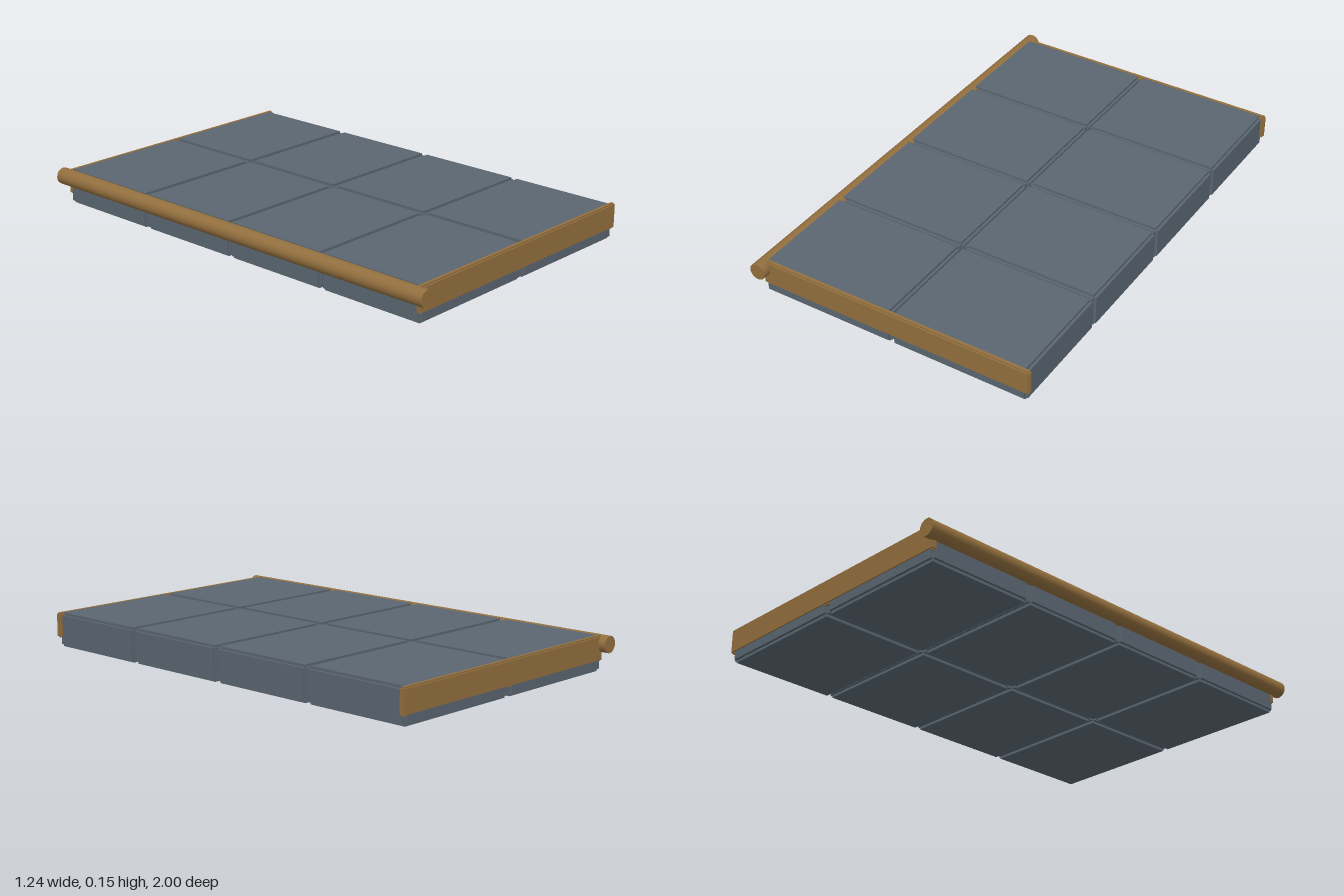
import * as THREE from 'three';

const stone = new THREE.MeshStandardMaterial({ color: 0x5a6670 });
const wood = new THREE.MeshStandardMaterial({ color: 0x936f3e });

// Box with stepped edges: three crossed boxes, each full length on one axis only
function steppedBox(name, w, h, d, step, material) {
  const group = new THREE.Group();
  group.name = name;
  const s = 2 * step;
  const sizes = [[w, h - s, d - s], [w - s, h, d - s], [w - s, h - s, d]];
  for (const size of sizes) {
    const mesh = new THREE.Mesh(new THREE.BoxGeometry(...size), material);
    mesh.name = name + 'Layer';
    group.add(mesh);
  }
  return group;
}

export function createModel() {
  const model = new THREE.Group();
  model.name = 'slabPlatform';

  // Slabs: two columns by four rows with narrow gaps
  for (let col = 0; col < 2; col++) {
    for (let row = 0; row < 4; row++) {
      const slab = steppedBox('slab', 0.591, 0.146, 0.477, 0.011, stone);
      slab.position.set(0.012 + (col - 0.5) * 0.598, 0.073, (row - 1.5) * 0.483);
      model.add(slab);
    }
  }

  // Side rails along the front and back
  for (const side of [1, -1]) {
    const rail = steppedBox('sideRail', 1.206, 0.106, 0.025, 0.006, wood);
    rail.position.set(0.017, 0.094, side * 0.9555);
    model.add(rail);
  }

  // Round log along the right edge
  const log = new THREE.Mesh(new THREE.CylinderGeometry(0.035, 0.035, 2, 24), wood);
  log.name = 'edgeLog';
  log.rotation.x = Math.PI / 2;
  log.position.set(-0.588, 0.112, 0);
  model.add(log);

  return model;
}
